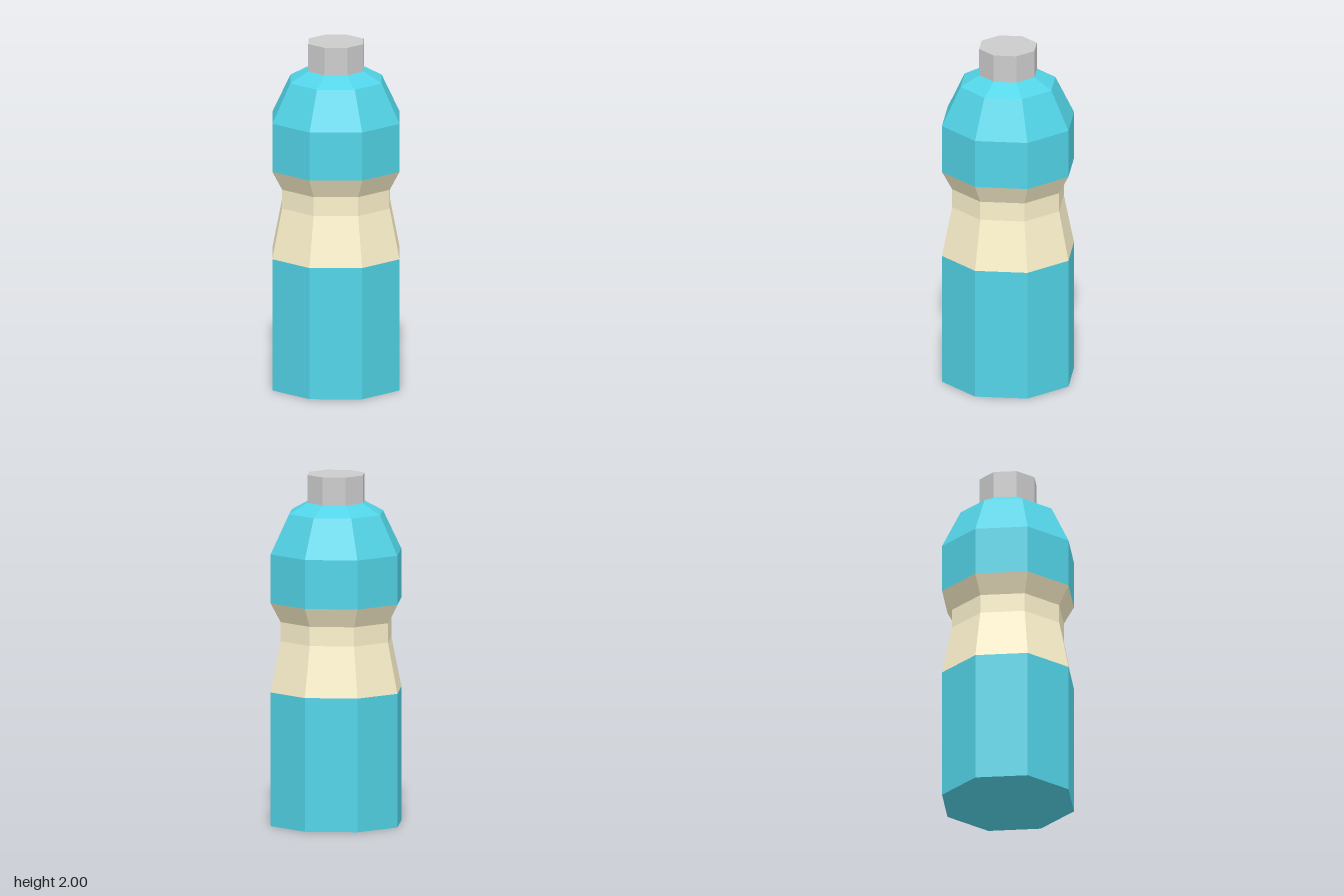
import * as THREE from 'three';

const SIDES = 8;

// Faceted ring surface from a [radius, height] profile, listed bottom to top
function facetedLathe(name, profile, color) {
  const points = profile.map(([r, y]) => new THREE.Vector2(r, y));
  const geometry = new THREE.LatheGeometry(points, SIDES).toNonIndexed();
  geometry.computeVertexNormals();
  const material = new THREE.MeshStandardMaterial({ color, flatShading: true });
  const mesh = new THREE.Mesh(geometry, material);
  mesh.name = name;
  return mesh;
}

export function createModel() {
  const bottle = new THREE.Group();
  bottle.name = 'bottle';
  const blue = 0x52d4e7, cream = 0xfcf2cc, grey = 0xcccccc;

  bottle.add(
    // Straight lower body with closed base
    facetedLathe('lowerBody', [[0, 0], [0.39, 0], [0.39, 0.765]], blue),
    // Pinched grip band
    facetedLathe('gripBand', [[0.39, 0.765], [0.33, 1.055], [0.33, 1.165], [0.39, 1.275]], cream),
    // Upper body tapering over the shoulder to the neck
    facetedLathe('shoulder', [[0.39, 1.275], [0.39, 1.555], [0.28, 1.78], [0.17, 1.84]], blue),
    // Screw cap with closed top
    facetedLathe('cap', [[0.17, 1.84], [0.17, 2], [0, 2]], grey),
  );
  return bottle;
}
